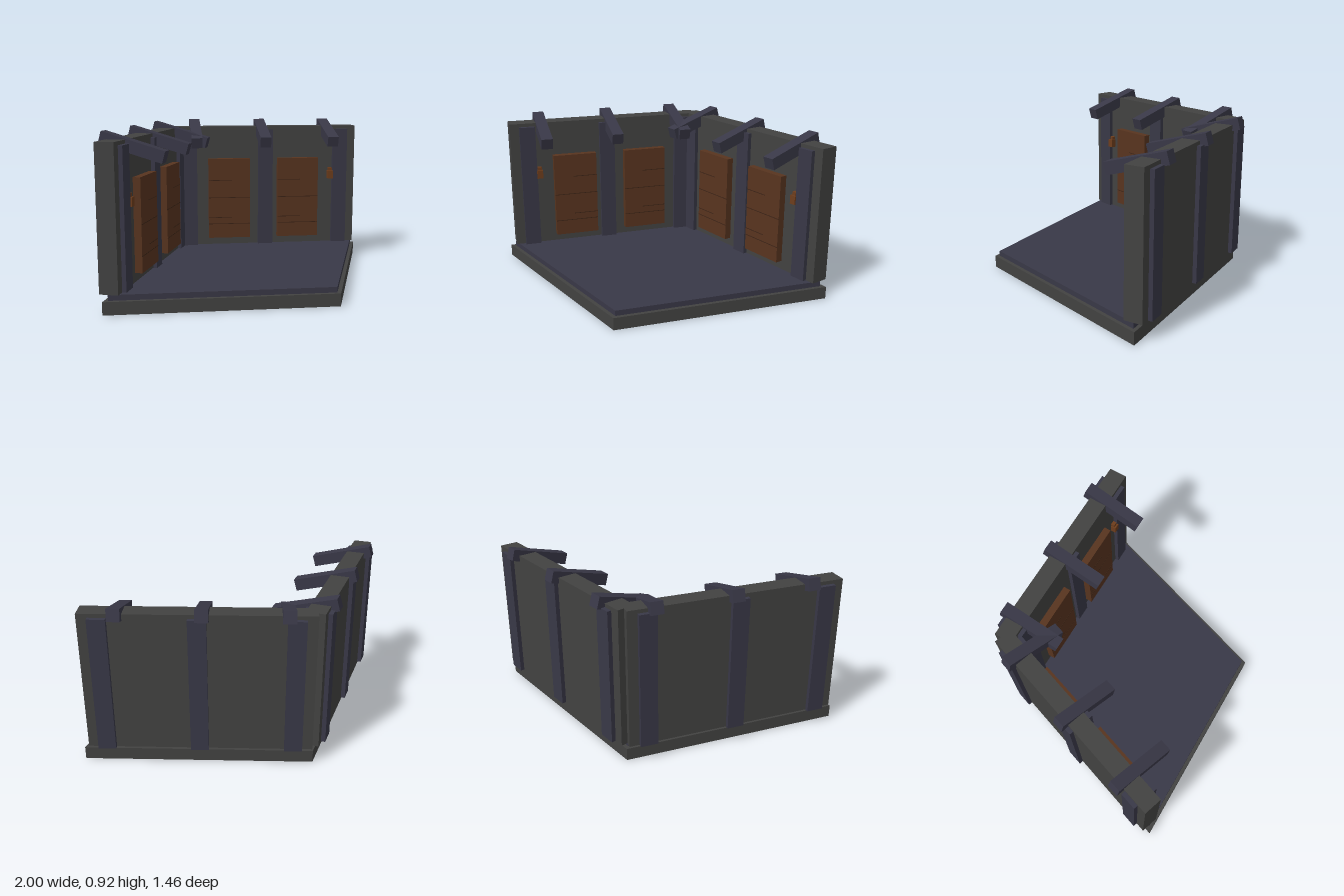
import * as THREE from 'three';

const mat = (name, color) => {
  const m = new THREE.MeshStandardMaterial({ color });
  m.name = name;
  return m;
};

export function createModel() {
  const stone = mat('stone grey', 0x424241);
  const timber = mat('slate timber', 0x393847);
  const wood = mat('brown wood', 0x58341f);
  const seamWood = mat('dark seam', 0x3a2215);
  const lampWood = mat('orange wood', 0x6e3d1c);

  const root = new THREE.Group();
  root.name = 'roomCorner';
  const CZ = 0.01, HX = 1, HZ = 0.723;
  const angle = Math.atan2(HZ, HX);

  // Diamond-shaped slabs
  const slab = (name, hx, hz, y0, y1, material) => {
    const s = new THREE.Shape([[hx, 0], [0, hz], [-hx, 0], [0, -hz]].map(p => new THREE.Vector2(...p)));
    const g = new THREE.ExtrudeGeometry(s, { depth: y1 - y0, bevelEnabled: false });
    g.rotateX(-Math.PI / 2);
    const m = new THREE.Mesh(g, material);
    m.name = name;
    m.position.set(0, y0, CZ);
    root.add(m);
  };
  slab('base', HX, HZ, 0, 0.07, stone);
  slab('floor', 0.965, 0.697, 0.07, 0.1, timber);

  // Each wall group: x runs along the wall from the back corner, z points into the room
  for (const side of [1, -1]) {
    const wall = new THREE.Group();
    wall.name = side > 0 ? 'leftWall' : 'rightWall';
    wall.position.set(0, 0, CZ - HZ);
    wall.rotation.y = -side * angle;
    root.add(wall);

    const box = (name, material, w, h, d, u, y, z) => {
      const m = new THREE.Mesh(new THREE.BoxGeometry(w, h, d), material);
      m.name = name;
      m.position.set(side * u, y, z);
      wall.add(m);
      return m;
    };

    box('wallPanel', stone, 1.196, 0.775, 0.103, 0.605, 0.4875, 0.0245);

    // Posts showing on both faces of the wall
    for (const u of [0.11, 0.605, 1.1]) box('post', timber, 0.095, 0.755, 0.15, u, 0.4775, 0.0245);

    // Sloping roof beams
    for (const u of [0.15, 0.58, 1.01]) {
      box('beam', timber, 0.068, 0.066, 0.356, u, 0.836, 0.107).rotation.x = 0.28;
    }

    // Wooden shutters with thin board seams
    for (const u of [0.365, 0.817]) {
      box('shutter', wood, 0.268, 0.52, 0.05, u, 0.41, 0.093);
      for (const [y, w] of [[0.53, 0.15], [0.416, 0.268], [0.285, 0.15], [0.243, 0.268]]) {
        box('shutterSeam', seamWood, w, 0.004, 0.002, u - (0.268 - w) / 2, y, 0.1185);
      }
    }

    // Small wall lamp
    box('lampBody', lampWood, 0.036, 0.05, 0.032, 1.037, 0.555, 0.092);
    box('lampTop', lampWood, 0.026, 0.02, 0.022, 1.037, 0.59, 0.087);
  }
  return root;
}
